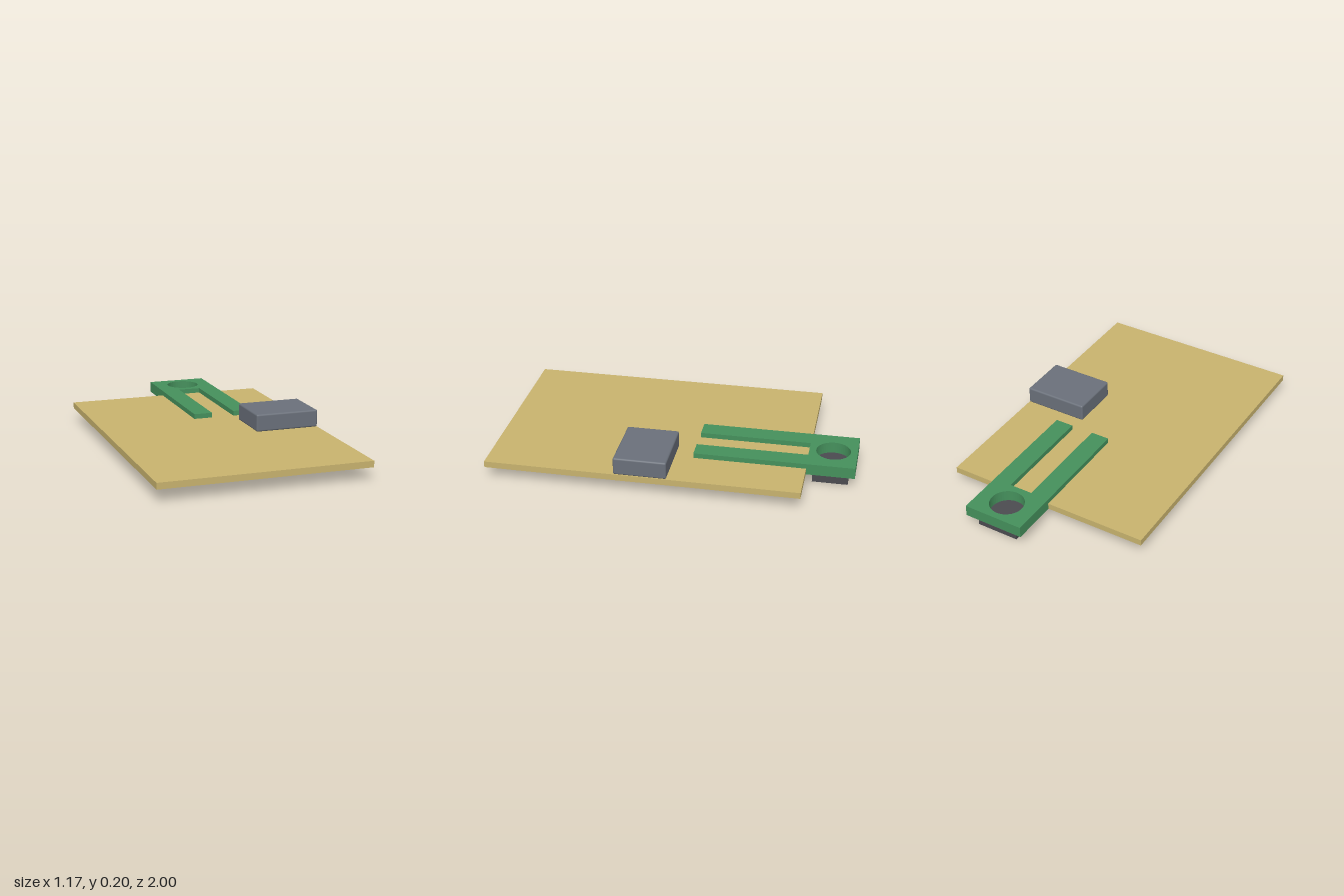
import * as THREE from 'three';
import { RoundedBoxGeometry } from 'three/addons/geometries/RoundedBoxGeometry.js';

const material = (name, color) => {
  const m = new THREE.MeshStandardMaterial({ color });
  m.name = name;
  return m;
};

export function createModel() {
  const model = new THREE.Group();
  model.name = 'boardWithClip';

  const tan = material('tan', 0xc8b36e);
  const green = material('green', 0x45905c);
  const slate = material('slate', 0x6a707a);
  const charcoal = material('charcoal', 0x4b4b50);

  const add = (name, geometry, mat) => {
    const mesh = new THREE.Mesh(geometry, mat);
    mesh.name = name;
    model.add(mesh);
    return mesh;
  };

  // Box given by its limits on each axis
  const box = (x0, x1, y0, y1, z0, z1) =>
    new THREE.BoxGeometry(x1 - x0, y1 - y0, z1 - z0)
      .translate((x0 + x1) / 2, (y0 + y1) / 2, (z0 + z1) / 2);

  // Horizontal slab with round holes, each given as [x, z, radius]
  const slab = (x0, x1, y0, y1, z0, z1, holes) => {
    const shape = new THREE.Shape();
    shape.moveTo(x0, -z1).lineTo(x1, -z1).lineTo(x1, -z0).lineTo(x0, -z0).closePath();
    for (const [x, z, r] of holes) {
      shape.holes.push(new THREE.Path().absarc(x, -z, r, 0, Math.PI * 2, true));
    }
    return new THREE.ExtrudeGeometry(shape, { depth: y1 - y0, bevelEnabled: false, curveSegments: 24 })
      .rotateX(-Math.PI / 2)
      .translate(0, y0, 0);
  };

  // Flat board
  add('board', box(-0.588, 0.585, 0.07, 0.105, -0.735, 1), tan);

  // Clip: thick head with a round opening, overhanging the back edge, and two prongs
  add('clipHead', slab(-0.018, 0.327, 0.07, 0.133, -1, -0.735, [[0.155, -0.867, 0.095]]), green);
  add('clipProngRight', box(-0.018, 0.09, 0.105, 0.133, -0.735, -0.115), green);
  add('clipProngLeft', box(0.222, 0.327, 0.105, 0.133, -0.735, -0.115), green);

  // Socket under the head: solid cap above a body with four blind holes
  const sockets = [];
  for (const sx of [-1, 1]) {
    for (const sz of [-1, 1]) sockets.push([0.158 + sx * 0.055, -0.864 + sz * 0.047, 0.032]);
  }
  add('socketCap', box(0.038, 0.278, 0.04, 0.07, -0.962, -0.766), charcoal);
  add('socketBody', slab(0.038, 0.278, 0, 0.04, -0.962, -0.766, sockets), charcoal);

  // Soft-edged block by the left edge
  add('block', new RoundedBoxGeometry(0.368, 0.099, 0.292, 3, 0.01), slate)
    .position.set(0.401, 0.1545, 0.131);

  return model;
}
